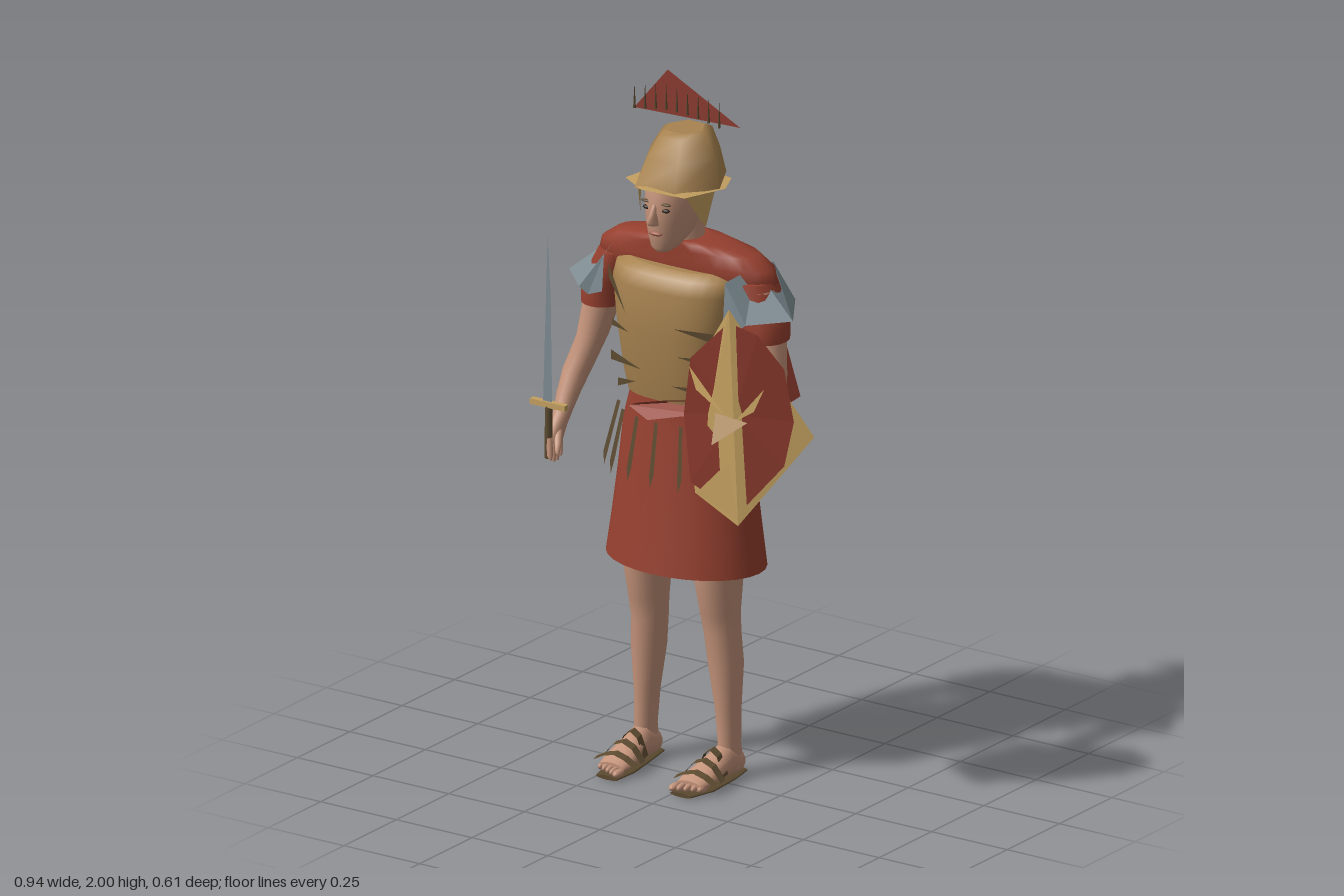
import * as THREE from 'three';

const CX = -0.087; // body centre line
const mat = (name, color) => Object.assign(new THREE.MeshStandardMaterial({ color, side: THREE.DoubleSide }), { name });

// Closed loft through horizontal oval sections [y, x, z, rx, rz], listed upwards
function loft(sections, { seg = 20, power = 2, bottom = true, top = true } = {}) {
  const pos = [], idx = [];
  const bend = v => Math.sign(v) * Math.abs(v) ** (2 / power);
  const ring = ([y, x, z, rx, rz]) => {
    for (let j = 0; j < seg; j++) {
      const a = j / seg * Math.PI * 2;
      pos.push(x + rx * bend(Math.cos(a)), y, z + rz * bend(Math.sin(a)));
    }
  };
  sections.forEach(ring);
  for (let i = 0; i < sections.length - 1; i++) for (let j = 0; j < seg; j++) {
    const a = i * seg + j, b = i * seg + (j + 1) % seg;
    idx.push(a, a + seg, b, b, a + seg, b + seg);
  }
  const cap = (s, up) => {
    const start = pos.length / 3;
    ring(s);
    pos.push(s[1], s[0], s[2]);
    for (let j = 0; j < seg; j++) {
      const a = start + j, b = start + (j + 1) % seg, c = start + seg;
      if (up) idx.push(b, a, c); else idx.push(a, b, c);
    }
  };
  if (bottom) cap(sections[0], false);
  if (top) cap(sections[sections.length - 1], true);
  const g = new THREE.BufferGeometry();
  g.setAttribute('position', new THREE.Float32BufferAttribute(pos, 3));
  g.setIndex(idx);
  g.computeVertexNormals();
  return g;
}

// Flat-shaded thin sheet: a fan of triangles from the first point
function sheet(pts, closed = false) {
  const pos = [], n = pts.length;
  for (let i = 1; i < (closed ? n : n - 1); i++) pos.push(...pts[0], ...pts[i], ...pts[i + 1 < n ? i + 1 : 1]);
  const g = new THREE.BufferGeometry();
  g.setAttribute('position', new THREE.Float32BufferAttribute(pos, 3));
  g.computeVertexNormals();
  return g;
}

export function createModel() {
  const model = new THREE.Group();
  const skin = mat('skin', 0xc4937a), cloth = mat('red cloth', 0x96402f), darkRed = mat('dark red', 0x84362a);
  const bronze = mat('bronze', 0xa88350), gold = mat('gold', 0xc4a060), steel = mat('steel', 0x7d8c92);
  const leather = mat('leather', 0x5c4a30), dark = mat('eye dark', 0x33261f), lip = mat('lips', 0xa5624f);
  const add = (name, geo, m) => {
    const mesh = new THREE.Mesh(geo, m);
    mesh.name = name;
    model.add(mesh);
    return mesh;
  };
  const ball = (name, m, x, y, z, rx, ry, rz) => {
    const b = add(name, new THREE.SphereGeometry(1, 14, 10), m);
    b.position.set(x, y, z);
    b.scale.set(rx, ry, rz);
  };
  const centred = rows => rows.map(([y, z, rx, rz]) => [y, CX, z, rx, rz]);

  // Clothing and armour on the trunk
  add('tunic', loft(centred([[0.61, -0.04, 0.24, 0.17], [0.72, -0.042, 0.225, 0.157], [0.86, -0.043, 0.208, 0.14],
    [1, -0.043, 0.193, 0.125], [1.08, -0.043, 0.172, 0.115], [1.2, -0.04, 0.155, 0.11], [1.35, -0.04, 0.17, 0.115],
    [1.45, -0.045, 0.2, 0.1]]), { seg: 28, bottom: false }), cloth);
  add('cuirass', loft(centred([[1.1, -0.025, 0.152, 0.115], [1.16, -0.025, 0.165, 0.125], [1.3, -0.022, 0.183, 0.138],
    [1.42, -0.022, 0.198, 0.134], [1.46, -0.025, 0.192, 0.12], [1.475, -0.03, 0.16, 0.09]]), { seg: 28, power: 2.6 }), bronze);
  add('mantle', loft(centred([[1.42, -0.05, 0.25, 0.07], [1.45, -0.05, 0.285, 0.085], [1.49, -0.05, 0.275, 0.088],
    [1.525, -0.045, 0.225, 0.08], [1.545, -0.035, 0.13, 0.075], [1.55, -0.03, 0.07, 0.065]]), { seg: 28, power: 2.4 }), cloth);
  const chestZ = (x, y) => -0.02 + 0.135 * (1 - Math.abs((x - CX) / 0.21) ** 2.6) ** (1 / 2.6) - Math.max(0, 1.25 - y) * 0.08;
  // Slits between the armour plates: [outer x, y, inner x, y, thickness]
  for (const [x0, y0, x1, y1, t] of [[-0.26, 1.44, -0.18, 1.34, 0.02], [0.09, 1.31, -0.02, 1.33, 0.014], [0.08, 1.24, -0.01, 1.25, 0.012],
    [-0.25, 1.2, -0.13, 1.19, 0.014], [-0.24, 1.3, -0.17, 1.29, 0.01], [0.07, 1.15, -0.03, 1.16, 0.014], [-0.22, 1.13, -0.15, 1.15, 0.012]]) {
    add('armourSlit', sheet([[x0, y0 + t, chestZ(x0, y0) + 0.008], [x0, y0 - t, chestZ(x0, y0) + 0.008],
      [x1, y1, chestZ(x1, y1) + 0.008]]), leather);
  }
  add('waistFold', sheet([[-0.2, 1.06, 0.075], [-0.12, 1.04, 0.1], [0.05, 1.09, 0.095], [0.07, 1.13, 0.08], [-0.06, 1.11, 0.103], [-0.16, 1.08, 0.095]]), cloth);

  // Hanging leather strips round the front of the skirt
  for (const x of [-0.275, -0.225, -0.16, -0.09, -0.015, 0.05, 0.095]) {
    const u = (x - CX) / 0.2, z = -0.04 + 0.135 * Math.sqrt(Math.max(0, 1 - u * u));
    const low = x + u * 0.03;
    add('skirtStrip', sheet([[x - 0.006, 1.04, z + 0.005], [x + 0.008, 1.04, z + 0.01], [low + 0.012, 0.9, z + 0.035],
      [low - 0.004, 0.855, z + 0.03], [low - 0.01, 0.89, z + 0.025]]), leather);
  }

  // Cape with its badge
  add('cape', sheet([[0.1, 1.47, -0.14], [-0.3, 1.45, -0.15], [-0.335, 1.18, -0.25], [-0.18, 0.81, -0.305], [0.13, 1.05, -0.27]]), darkRed);
  const back = (x, y) => [x, y, -0.165 - 0.3 * (1.46 - y)];
  add('capeBadge', sheet([back(0.02, 1.4), back(-0.2, 1.4), back(-0.07, 1.25)]), bronze);
  add('capeBadgeBar', sheet([back(0.04, 1.34), back(-0.19, 1.24), back(-0.03, 1.29)]), bronze);

  // Head and face
  add('neck', loft(centred([[1.48, -0.035, 0.068, 0.062], [1.54, -0.03, 0.055, 0.057], [1.64, -0.025, 0.054, 0.058]])), skin);
  add('head', loft(centred([[1.533, 0.075, 0.022, 0.02], [1.545, 0.062, 0.038, 0.042], [1.575, 0.035, 0.054, 0.075],
    [1.62, 0.018, 0.066, 0.1], [1.67, 0.013, 0.073, 0.104], [1.72, 0.01, 0.073, 0.1], [1.77, 0.005, 0.06, 0.085], [1.8, 0, 0.03, 0.04]]), { seg: 24 }), skin);
  add('nose', loft(centred([[1.618, 0.118, 0.016, 0.016], [1.63, 0.12, 0.015, 0.026], [1.65, 0.115, 0.009, 0.02], [1.675, 0.108, 0.008, 0.013]]), { seg: 10 }), skin);
  ball('mouth', lip, CX, 1.59, 0.108, 0.022, 0.007, 0.011);
  for (const s of [-1, 1]) {
    ball('eye', dark, CX + s * 0.031, 1.66, 0.105, 0.013, 0.006, 0.008);
    ball('eyebrow', leather, CX + s * 0.032, 1.678, 0.106, 0.017, 0.004, 0.007);
    ball('ear', skin, CX + s * 0.075, 1.65, -0.005, 0.012, 0.034, 0.022);
  }

  // Helmet, brim and cheek plates
  add('helmet', loft([[1.715, -0.08, 0, 0.13, 0.145], [1.79, -0.082, -0.016, 0.105, 0.115], [1.845, -0.085, -0.033, 0.073, 0.085],
    [1.855, -0.087, -0.036, 0.055, 0.06]], { seg: 6, bottom: false }), bronze);
  add('helmetBrim', sheet([[-0.085, 1.725, 0], [-0.22, 1.71, 0.06], [-0.107, 1.725, 0.15], [0.023, 1.72, 0.13], [0.055, 1.71, -0.02],
    [0.02, 1.71, -0.1], [-0.1, 1.705, -0.135], [-0.2, 1.71, -0.08]], true), gold);
  for (const s of [-1, 1]) {
    const x = d => CX + s * d;
    add('cheekPlate', sheet([[x(0.122), 1.71, 0], [x(0.108), 1.605, 0.025], [x(0.075), 1.71, 0.085]]), gold);
  }

  // Floating crest with bristles
  add('crest', sheet([[-0.26, 1.875, -0.04], [0.087, 1.885, -0.045], [-0.16, 2, -0.055]]), darkRed);
  for (let i = 0; i < 9; i++) {
    const b = add('crestBristle', new THREE.ConeGeometry(0.004, 0.075, 5), leather);
    b.position.set(-0.24 + i * 0.035, 1.915 + 0.025 * Math.sin((i + 1) / 10 * Math.PI), -0.012);
  }

  // Limbs, both sides
  for (const s of [-1, 1]) {
    const x = d => CX + s * d;
    const limb = rows => rows.map(([y, d, z, rx, rz]) => [y, x(d), z, rx, rz]);
    add('arm', loft(limb([[0.925, 0.325, 0.125, 0.018, 0.034], [0.965, 0.328, 0.102, 0.022, 0.034], [1, 0.326, 0.08, 0.025, 0.03],
      [1.05, 0.325, 0.052, 0.032, 0.036], [1.11, 0.318, 0.02, 0.039, 0.045], [1.2, 0.295, -0.017, 0.042, 0.048],
      [1.32, 0.27, -0.035, 0.052, 0.058], [1.44, 0.24, -0.04, 0.05, 0.06]])), skin);
    for (let f = 0; f < 4; f++) {
      const z = 0.105 + f * 0.016, tip = 0.872 + Math.abs(f - 1.5) * 0.008;
      add('finger', loft(limb([[tip, 0.312, z + 0.006, 0.004, 0.004], [tip + 0.012, 0.315, z + 0.004, 0.008, 0.008],
        [0.945, 0.324, z - 0.004, 0.01, 0.009]]), { seg: 8 }), skin);
    }
    add('thumb', loft(limb([[0.905, 0.295, 0.15, 0.006, 0.006], [0.93, 0.3, 0.14, 0.01, 0.01], [0.965, 0.32, 0.11, 0.011, 0.012]]), { seg: 8 }), skin);
    add('sleeve', loft(limb([[1.3, 0.268, -0.035, 0.062, 0.068], [1.36, 0.264, -0.037, 0.065, 0.072], [1.46, 0.22, -0.045, 0.06, 0.07]]), { bottom: false }), cloth);
    // Folded shoulder plate: inner and outer edge from back to front
    const inner = [[0.21, 1.39, -0.145], [0.21, 1.475, -0.15], [0.225, 1.495, -0.04], [0.2, 1.475, 0.066], [0.2, 1.37, 0.075]];
    const outer = [[0.275, 1.355, -0.13], [0.29, 1.385, -0.14], [0.37, 1.375, -0.013], [0.275, 1.37, 0.077], [0.25, 1.35, 0.07]];
    const at = ([d, y, z]) => [x(d), y, z];
    for (let i = 0; i < 4; i++) add('shoulderPlate', sheet([inner[i], outer[i], outer[i + 1], inner[i + 1]].map(at)), steel);

    add('leg', loft(limb([[0.03, 0.138, -0.05, 0.03, 0.042], [0.1, 0.138, -0.045, 0.029, 0.038], [0.2, 0.134, -0.045, 0.034, 0.041],
      [0.33, 0.127, -0.044, 0.047, 0.054], [0.42, 0.12, -0.038, 0.05, 0.054], [0.48, 0.118, -0.03, 0.055, 0.058],
      [0.6, 0.117, -0.022, 0.065, 0.08], [0.8, 0.112, -0.03, 0.08, 0.09]])), skin);
    // Foot and sole are lofted along z, heel to toe
    add('foot', loft(limb([[-0.098, 0.137, -0.036, 0.018, 0.02], [-0.075, 0.137, -0.044, 0.032, 0.037], [-0.02, 0.137, -0.056, 0.034, 0.048],
      [0.04, 0.134, -0.044, 0.041, 0.035], [0.1, 0.13, -0.031, 0.048, 0.022], [0.135, 0.128, -0.025, 0.042, 0.014]])).rotateX(Math.PI / 2), skin);
    add('sole', loft(limb([[-0.102, 0.137, -0.006, 0.022, 0.006], [-0.03, 0.137, -0.006, 0.036, 0.006], [0.09, 0.131, -0.006, 0.05, 0.006],
      [0.165, 0.122, -0.006, 0.036, 0.006]]), { seg: 12 }).rotateX(Math.PI / 2), leather);
    for (let t = 0; t < 5; t++) {
      ball('toe', skin, x(0.093 + t * 0.018), 0.021, 0.152 - t * 0.008, t ? 0.009 : 0.012, 0.011, 0.023);
    }
    // Sandal straps: loose bands arched over the foot
    for (const [z, w, h] of [[0.105, 0.068, 0.062], [0.065, 0.064, 0.085], [0.025, 0.045, 0.105]]) {
      const arch = [[-w, 0.035], [-w * 0.5, h * 0.85], [0, h], [w * 0.5, h * 0.85], [w, 0.035]];
      for (let i = 0; i < 4; i++) {
        const [a, ay] = arch[i], [b, by] = arch[i + 1];
        add('sandalStrap', sheet([[x(0.132 + a), ay, z - 0.008], [x(0.132 + b), by, z - 0.008], [x(0.132 + b), by - 0.006, z + 0.014],
          [x(0.132 + a), ay - 0.006, z + 0.014]]), leather);
      }
    }
  }

  // Shield: curved red board crossed by a folded gold plate, with a loose boss
  const board = (x, y) => [x, y, 0.24 - 0.04 * ((x - 0.255) / 0.185) ** 2];
  add('shieldBoard', sheet([[0.265, 1.18], [0.1, 1.3], [0.245, 1.44], [0.335, 1.42], [0.41, 1.33], [0.435, 1.18],
    [0.41, 1.05], [0.275, 0.89], [0.1, 0.94], [0.07, 1.13]].map(p => board(...p)), true), darkRed);
  const top = [0.25, 1.48, 0.245], base = [0.28, 0.86, 0.245];
  add('shieldFoldRight', sheet([top, [0.065, 1.22, 0.17], [0.11, 0.91, 0.205], base]), gold);
  add('shieldFoldLeft', sheet([top, base, [0.47, 1.13, 0.155]]), gold);
  const rays = [[[0.1, 1.28], [0.13, 1.22], [0.24, 1.17]], [[0.36, 1.27], [0.33, 1.2], [0.27, 1.16]], [[0.13, 0.92], [0.28, 0.88], [0.25, 1.04]]];
  for (const ray of rays) {
    add('shieldRay', sheet(ray.map(([x, y]) => [x, y, board(x, y)[2] + 0.008])), gold);
  }
  add('shieldBoss', sheet([[0.217, 1.18, 0.262], [0.327, 1.175, 0.268], [0.23, 1.1, 0.3]]), bronze);

  // Sword held upright in the right hand
  add('swordBlade', sheet([[-0.43, 1.04, 0.15], [-0.415, 1.04, 0.155], [-0.4, 1.04, 0.15], [-0.405, 1.35, 0.15], [-0.415, 1.53, 0.15], [-0.42, 1.35, 0.15]]), steel);
  add('swordGuard', new THREE.BoxGeometry(0.115, 0.016, 0.018).translate(-0.412, 1.04, 0.148), gold);
  add('swordGrip', new THREE.CylinderGeometry(0.01, 0.012, 0.15, 8).translate(-0.413, 0.96, 0.148), leather);
  return model;
}
